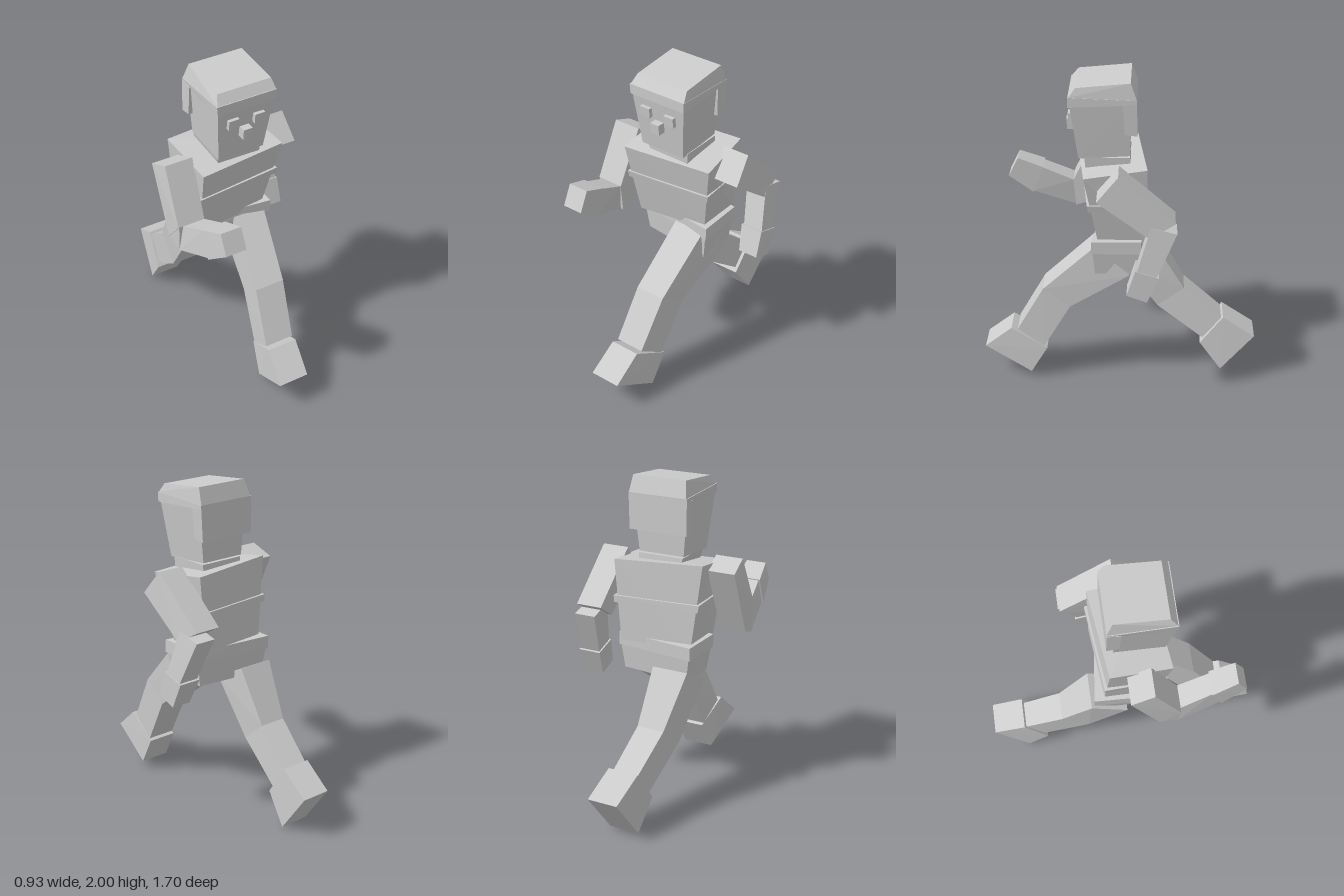
import * as THREE from 'three';
import { ConvexGeometry } from 'three/addons/geometries/ConvexGeometry.js';

const grey = new THREE.MeshStandardMaterial({ color: 0xcccccc });
grey.name = 'plain grey';

// Block spanned by two four-cornered ends
function block(name, a, b) {
  const points = [...a, ...b].map((p) => new THREE.Vector3(...p));
  const mesh = new THREE.Mesh(new ConvexGeometry(points), grey);
  mesh.name = name;
  return mesh;
}

// Level rectangle: x range, z range, height at front and back
const level = (x0, x1, zBack, zFront, yFront, yBack = yFront) => [
  [x0, yFront, zFront], [x1, yFront, zFront], [x1, yBack, zBack], [x0, yBack, zBack]];

// Limb section: front and back corners as [z, y], x range, sideways shift of the back edge
const cut = (front, back, x0, x1, shift = 0) => [
  [x0, front[1], front[0]], [x1, front[1], front[0]],
  [x1 + shift, back[1], back[0]], [x0 + shift, back[1], back[0]]];

// Limb made of blocks, each with its own start and end section
function limb(name, parts) {
  const group = new THREE.Group();
  group.name = name;
  for (const [part, a, b] of parts) group.add(block(part, a, b));
  return group;
}

export function createModel() {
  const model = new THREE.Group();
  model.name = 'runningFigure';

  // Head, hair and face
  const head = limb('head', [
    ['face', level(-0.165, 0.13, -0.06, 0.24, 1.52, 1.54), level(-0.195, 0.17, -0.07, 0.285, 1.86, 1.88)],
    ['hairBand', level(-0.2, 0.18, -0.1, 0.295, 1.855, 1.875), level(-0.205, 0.18, -0.1, 0.295, 1.915, 1.9)],
    ['hairTop', level(-0.2, 0.178, -0.1, 0.29, 1.915, 1.9), level(-0.18, 0.167, -0.065, 0.25, 1.97, 2.0)],
    ['backHair', level(-0.205, 0.172, -0.105, -0.03, 1.69, 1.68), level(-0.205, 0.18, -0.1, -0.02, 1.875, 1.89)],
    ['nose', level(-0.045, 0.015, 0.25, 0.31, 1.66), level(-0.045, 0.015, 0.25, 0.315, 1.725)],
    ['rightEye', level(-0.13, -0.063, 0.26, 0.295, 1.74), level(-0.13, -0.063, 0.26, 0.3, 1.8)],
    ['leftEye', level(0.038, 0.105, 0.26, 0.295, 1.733), level(0.038, 0.105, 0.26, 0.3, 1.793)],
    ['neck', level(-0.14, 0.13, -0.07, 0.2, 1.45), level(-0.16, 0.135, -0.06, 0.205, 1.53)],
  ]);
  model.add(head);

  // Torso, twisted so the right shoulder leads
  const torsoTop = [[-0.28, 1.46, 0.27], [0.288, 1.46, 0.205], [0.245, 1.5, -0.165], [-0.31, 1.515, -0.1]];
  const torsoBase = [[-0.25, 0.985, 0.17], [0.2, 1.0, 0.125], [0.2, 1.0, -0.17], [-0.25, 0.99, -0.13]];
  model.add(block('torso', torsoTop, torsoBase));

  // Chest band follows the torso slightly outside its surface
  const ring = (y) => torsoBase.map((p, i) => {
    const t = (y - 1.0) / 0.48, q = torsoTop[i];
    const x = p[0] + (q[0] - p[0]) * t, z = p[2] + (q[2] - p[2]) * t;
    return [x + Math.sign(x) * 0.017, y, z + (i < 2 ? 0.016 : -0.016)];
  });
  model.add(block('chestBand', ring(1.235), ring(1.278)));

  // Hips, twisted the other way
  const hips = (y, s) => [[-0.285, y, 0.1], [0.24, y, 0.165], [0.235, y, -0.13], [-0.275, y, -0.19]]
    .map(([x, h, z]) => [x * s, h, z * s]);
  model.add(block('belt', hips(0.95, 1.01), hips(1.03, 1.01)));
  model.add(block('pelvis', hips(0.8, 0.88), hips(0.96, 0.97)));

  // Left arm swings back
  const leftElbow = cut([-0.19, 1.22], [-0.34, 1.18], 0.285, 0.42);
  const leftWrist = cut([-0.11, 0.95], [-0.225, 0.91], 0.325, 0.455);
  model.add(limb('leftArm', [
    ['upperArm', cut([0.125, 1.38], [0, 1.53], 0.26, 0.43, -0.015), cut([-0.18, 1.15], [-0.33, 1.24], 0.26, 0.425, -0.015)],
    ['forearm', leftElbow, leftWrist],
    ['hand', cut([-0.1, 0.955], [-0.24, 0.91], 0.315, 0.46), cut([-0.05, 0.795], [-0.17, 0.75], 0.335, 0.462)],
  ]));

  // Right arm swings forward
  model.add(limb('rightArm', [
    ['upperArm', cut([0.14, 1.52], [0, 1.46], -0.455, -0.28, -0.012), cut([0.3, 1.19], [0.18, 1.05], -0.465, -0.295)],
    ['forearm', cut([0.3, 1.19], [0.286, 1.015], -0.435, -0.295, -0.02), cut([0.49, 1.28], [0.55, 1.12], -0.405, -0.275)],
    ['elbow', cut([0.3, 1.19], [0.18, 1.05], -0.46, -0.295), cut([0.3, 1.17], [0.286, 1.015], -0.455, -0.295)],
    ['hand', cut([0.485, 1.285], [0.55, 1.115], -0.415, -0.265), cut([0.64, 1.35], [0.7, 1.23], -0.385, -0.255)],
  ]));

  // Left leg strides forward
  const leftKnee = cut([0.47, 0.655], [0.305, 0.54], -0.04, 0.152, 0.015);
  model.add(limb('leftLeg', [
    ['thigh', cut([0.145, 0.98], [-0.06, 0.8], 0, 0.205, 0.025), leftKnee],
    ['shin', leftKnee, cut([0.64, 0.345], [0.475, 0.235], -0.065, 0.12, 0.02)],
    ['foot', cut([0.68, 0.35], [0.455, 0.225], -0.072, 0.118, 0.03), cut([0.85, 0.205], [0.56, 0.04], -0.095, 0.1, 0.035)],
  ]));

  // Right leg trails behind
  const rightKnee = cut([-0.235, 0.43], [-0.4, 0.565], -0.23, -0.055, 0.015);
  model.add(limb('rightLeg', [
    ['thigh', cut([0.01, 0.77], [-0.21, 0.88], -0.275, -0.045, 0.005), rightKnee],
    ['shin', rightKnee, cut([-0.525, 0.215], [-0.64, 0.37], -0.185, -0.02, 0.01)],
    ['foot', cut([-0.51, 0.185], [-0.65, 0.385], -0.2, -0.005, 0.018), cut([-0.645, 0], [-0.85, 0.265], -0.18, 0.012, 0.026)],
  ]));

  return model;
}
